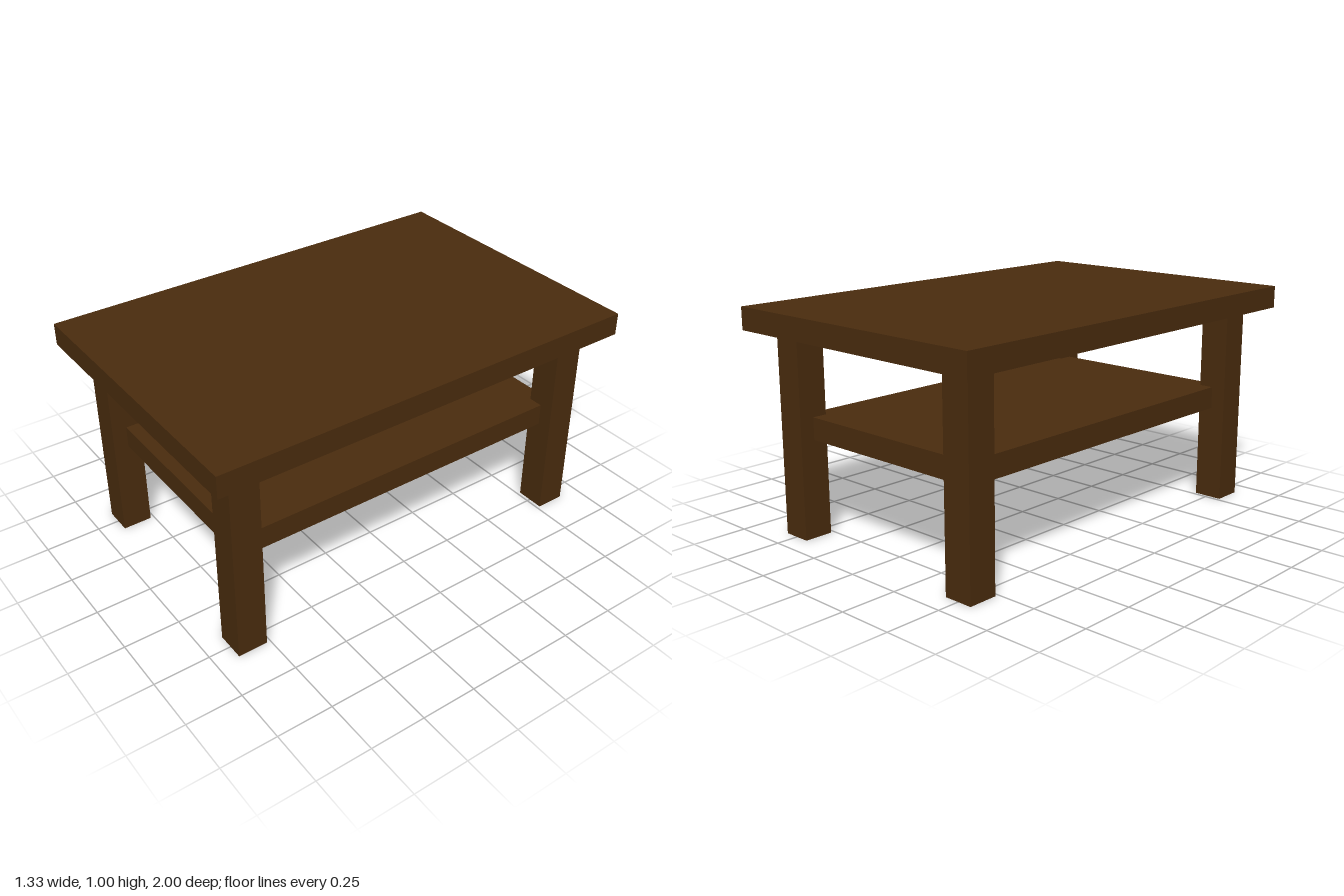
import * as THREE from 'three';

export function createModel() {
  const table = new THREE.Group();
  table.name = 'table';

  const wood = new THREE.MeshStandardMaterial({ color: 0x4a2c0e });
  wood.name = 'darkWood';

  // Adds a board or post whose underside sits at height y
  const addBox = (name, w, h, d, x, y, z) => {
    const mesh = new THREE.Mesh(new THREE.BoxGeometry(w, h, d), wood);
    mesh.name = name;
    mesh.position.set(x, y + h / 2, z);
    table.add(mesh);
  };

  const thickness = 0.1;
  const legHeight = 0.903;
  const legWidth = 0.133;
  const legX = 0.5;
  const legZ = 0.833;

  // Overhanging top, and a shelf reaching the middle of each leg
  addBox('tabletop', 1.333, thickness, 2, 0, legHeight, 0);
  addBox('shelf', legX * 2, thickness, legZ * 2, 0, 0.436, 0);

  // Four square legs
  for (const [end, sz] of [['front', 1], ['back', -1]]) {
    for (const [side, sx] of [['Left', 1], ['Right', -1]]) {
      addBox(`${end}${side}Leg`, legWidth, legHeight, legWidth, sx * legX, 0, sz * legZ);
    }
  }

  return table;
}
